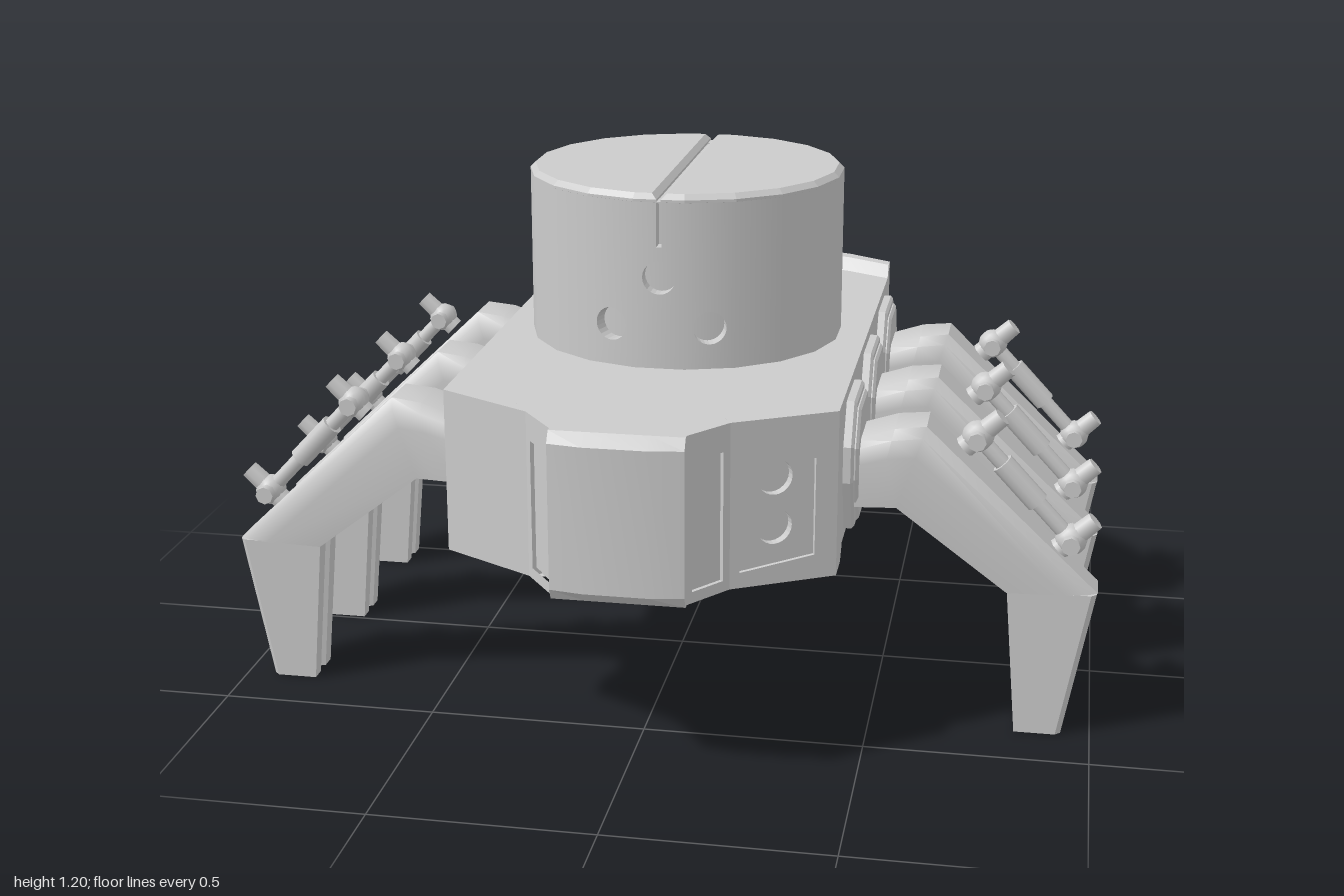
import * as THREE from 'three';
import { toCreasedNormals } from 'three/addons/utils/BufferGeometryUtils.js';

const material = new THREE.MeshStandardMaterial({ color: 0xcccccc, roughness: 0.7 });
const V = (x, y, z) => new THREE.Vector3(x, y, z);

function add(parent, name, geometry) {
  const m = new THREE.Mesh(geometry, material);
  m.name = name;
  parent.add(m);
  return m;
}

// Closed solid through equal-length rings of points, with fan caps
function loft(rings, crease = 0.5) {
  const n = rings[0].length, tris = [];
  for (let i = 0; i + 1 < rings.length; i++) {
    for (let j = 0; j < n; j++) {
      const k = (j + 1) % n, a = rings[i], b = rings[i + 1];
      tris.push([a[j], a[k], b[k]], [a[j], b[k], b[j]]);
    }
  }
  [rings[0], rings[rings.length - 1]].forEach((r, end) => {
    const c = r.reduce((s, p) => s.add(p), V(0, 0, 0)).divideScalar(n);
    r.forEach((p, j) => tris.push(end ? [c, p, r[(j + 1) % n]] : [c, r[(j + 1) % n], p]));
  });
  // Turn the faces outward
  const volume = tris.reduce((s, [a, b, c]) => s + a.dot(b.clone().cross(c)), 0);
  if (volume < 0) tris.forEach(t => t.reverse());
  const g = new THREE.BufferGeometry().setFromPoints(tris.flat());
  return toCreasedNormals(g, crease);
}

const shapeOf = pts => new THREE.Shape(pts.map(p => new THREE.Vector2(p[0], p[1])));
function circleHole(x, y, r) {
  const p = new THREE.Path();
  p.absarc(x, y, r, 0, Math.PI * 2, true);
  return p;
}
const extrude = (shape, depth, extra = {}) =>
  new THREE.ExtrudeGeometry(shape, { depth, bevelEnabled: false, curveSegments: 12, ...extra });

function createHull(root) {
  const hull = new THREE.Group();
  hull.name = 'hull';
  root.add(hull);
  const R = 0.725, rearZ = x => -0.81 + R - Math.sqrt(R * R - x * x);
  const xs = Array.from({ length: 9 }, (_, i) => -0.435 + 0.87 * i / 8);

  // Middle deck, its rear edge following the rear arc
  const deck = [[0.435, 0.47], [-0.435, 0.47], ...xs.map(x => [x, rearZ(x) + 0.04])];
  add(hull, 'deck', loft([0.46, 0.8].map(y => deck.map(([x, z]) => V(x, y, z))), 0.3));

  // Rear bulwark with raised rim and lowered belly
  add(hull, 'rearBulwark', loft(xs.map(x => {
    const z = rearZ(x), e = 1 - 0.3 * Math.abs(x) / 0.435;
    return [[z, 0.425], [z, 0.83], [z + 0.05 * e, 0.83], [z + 0.085 * e, 0.8],
      [-0.47, 0.78], [-0.47, 0.46], [-0.51, 0.425]].map(([pz, py]) => V(x, py, pz));
  })));

  // Bow core, inset where the cheek plates sit
  const half = [[0.435, 0.43], [0.435, 0.54], [0.42, 0.514], [0.205, 0.634], [0.22, 0.66],
    [0.196, 0.642], [0.121, 0.742], [0.145, 0.76], [0.145, 0.788], [0.07, 0.8]];
  const outline = [...half, ...half.slice().reverse().map(([x, z]) => [-x, z])];
  const levels = [[0.425, 0.775, 0.46], [0.45, 0.81, 0.435], [0.775, 0.81, 0.43], [0.8, 0.772, 0.43]];
  add(hull, 'bow', loft(levels.map(([y, front, rear]) =>
    outline.map(([x, z]) => V(x, y, Math.max(rear, Math.min(front, z))))), 0.2));

  // Cheek plates: a wide one with two ports and a narrow one beside the nose
  const cheeks = [
    { name: 'portCheek', a: [0.435, 0.54], b: [0.22, 0.66], ports: [0.665, 0.553],
      panel: [[0.023, 0.46], [0.195, 0.48], [0.195, 0.7], [0.023, 0.74]] },
    { name: 'noseCheek', a: [0.22, 0.66], b: [0.145, 0.76], ports: [],
      panel: [[0.015, 0.45], [0.105, 0.45], [0.105, 0.74], [0.015, 0.74]] }
  ];
  for (const s of [1, -1]) {
    for (const c of cheeks) {
      const dx = c.a[0] - c.b[0], dz = c.a[1] - c.b[1], L = Math.hypot(dx, dz);
      const g = new THREE.Group();
      g.name = c.name;
      g.position.set(s * c.b[0], 0, c.b[1]);
      g.rotation.y = s * Math.atan2(-dz, dx);
      hull.add(g);
      const panel = c.panel.map(([u, y]) => [s * u, y]);
      const frame = shapeOf([[0, 0.425], [s * L, 0.425], [s * L, 0.8], [0, 0.8]]);
      frame.holes.push(shapeOf(panel));
      add(g, 'cheekFrame', extrude(frame, 0.03)).position.z = -0.03;
      const inset = shapeOf(panel);
      c.ports.forEach(y => inset.holes.push(circleHole(s * 0.105, y, 0.04)));
      add(g, 'cheekPanel', extrude(inset, 0.021)).position.z = -0.03;
    }
  }
}

function createTurret(root) {
  const turret = new THREE.Group();
  turret.name = 'turret';
  turret.position.z = -0.065;
  root.add(turret);
  const R = 0.37, N = 20, A = Math.PI / N, apothem = R * Math.cos(A), w = R * Math.sin(A);
  add(turret, 'turretCore', new THREE.CylinderGeometry(0.335, 0.335, 0.39, N, 1, false, A)).position.y = 0.985;

  // Wall of facets with smooth normals; the three front ones carry ports
  for (let i = 0; i < N; i++) {
    const shape = shapeOf([[-w, 0.79], [w, 0.79], [w, 1.183], [-w, 1.183]]);
    if (i === 0) {
      shape.holes.push(circleHole(0, 1.01, 0.038));
      shape.holes.push(shapeOf([[-0.006, 1.08], [0.006, 1.08], [0.006, 1.18], [-0.006, 1.18]]));
    }
    if (i === 1 || i === N - 1) shape.holes.push(circleHole(0, 0.895, 0.038));
    const g = extrude(shape, 0.04).translate(0, 0, apothem - 0.04);
    const p = g.attributes.position, nrm = g.attributes.normal;
    for (let k = 0; k < p.count; k++) {
      if (nrm.getZ(k) < 0.9) continue;
      const n = V(p.getX(k), 0, apothem).normalize();
      nrm.setXYZ(k, n.x, n.y, n.z);
    }
    add(turret, 'turretWall', g).rotation.y = i * 2 * A;
  }

  // Bevelled lid in two halves with a seam between them
  for (const s of [1, -1]) {
    const r = R - 0.012, gap = 0.017, pts = [[s * gap, -r * Math.cos(A)]];
    for (let k = 0; k < N / 2; k++) {
      const t = -Math.PI / 2 + (2 * k + 1) * A;
      pts.push([s * r * Math.cos(t), r * Math.sin(t)]);
    }
    pts.push([s * gap, r * Math.cos(A)]);
    const g = extrude(shapeOf(pts), 0.006,
      { bevelEnabled: true, bevelSize: 0.012, bevelThickness: 0.012, bevelSegments: 1 });
    add(turret, 'turretLid', g.rotateX(-Math.PI / 2)).position.y = 1.182;
  }
}

// One leg reaching out along +x
function createLeg() {
  const leg = new THREE.Group();
  leg.name = 'leg';

  // Octagonal hip plates
  const octagon = k => shapeOf([[0.078, 0.145], [0.13, 0.06], [0.13, -0.02], [0.078, -0.14],
    [-0.078, -0.14], [-0.13, -0.02], [-0.13, 0.06], [-0.078, 0.145]].map(([z, y]) => [z * k, y * k]));
  [[1, 0.43, 0.022], [0.88, 0.445, 0.016]].forEach(([k, x, d]) => {
    const g = extrude(octagon(k), d, { bevelEnabled: true, bevelSize: 0.006, bevelThickness: 0.006, bevelSegments: 1 });
    add(leg, 'hipPlate', g.rotateY(Math.PI / 2)).position.set(x, 0.625, 0);
  });

  // Thigh: sections run from the lower edge to the upper edge
  const section = [[-1, 0], [-1, 0.65], [-0.9, 0.88], [-0.65, 1], [0.65, 1], [0.9, 0.88], [1, 0.65], [1, 0]];
  const ring = ([tx, ty, bx, by, w]) =>
    section.map(([u, v]) => V(bx + (tx - bx) * v, by + (ty - by) * v, u * w));
  add(leg, 'thigh', loft([[0.45, 0.68, 0.45, 0.535, 0.095], [0.54, 0.71, 0.5, 0.535, 0.09],
    [0.61, 0.718, 0.55, 0.535, 0.084], [1.0, 0.345, 0.8, 0.34, 0.06]].map(ring), 0.75));

  // Foot with a chamfered outer face and a groove on the inner face
  const foot = (y, x0, x1, w, d) => [[x0, -w], [x1 - 0.012, -w], [x1, -w + 0.012], [x1, w - 0.012],
    [x1 - 0.012, w], [x0, w], [x0, 0.018], [x0 + d, 0.012], [x0 + d, -0.012], [x0, -0.018]]
    .map(([x, z]) => V(x, y, z));
  add(leg, 'foot', loft([foot(0, 0.83, 0.935, 0.054, 0.02), foot(0.345, 0.8, 0.998, 0.058, 0.02)], 0.1));

  // Piston above the thigh, between two ball joints
  const top = V(0.72, 0.685, 0), low = V(0.935, 0.455, 0);
  const dir = low.clone().sub(top), length = dir.length();
  const piston = new THREE.Group();
  piston.name = 'piston';
  piston.position.copy(top);
  piston.quaternion.setFromUnitVectors(V(0, 1, 0), dir.normalize());
  leg.add(piston);
  add(piston, 'pistonRod', new THREE.CylinderGeometry(0.018, 0.018, length, 10)).position.y = length / 2;
  add(piston, 'pistonSleeve', new THREE.CylinderGeometry(0.026, 0.026, 0.12, 10)).position.y = length * 0.45;
  for (const y of [0, length]) {
    add(piston, 'jointBall', new THREE.SphereGeometry(0.036, 12, 8)).position.y = y;
    add(piston, 'jointPin', new THREE.CylinderGeometry(0.021, 0.021, 0.1, 8).rotateX(Math.PI / 2)).position.y = y;
    add(piston, 'jointPost', new THREE.CylinderGeometry(0.022, 0.026, 0.11, 8).rotateZ(Math.PI / 2)).position.set(-0.015, y, 0);
  }
  return leg;
}

export function createModel() {
  const root = new THREE.Group();
  root.name = 'sixLeggedWalker';
  createHull(root);
  createTurret(root);
  // Three legs on each side
  for (const z of [0.31, -0.065, -0.44]) {
    for (const side of [0, 1]) {
      const leg = createLeg();
      leg.position.z = z;
      leg.rotation.y = side * Math.PI;
      root.add(leg);
    }
  }
  return root;
}
